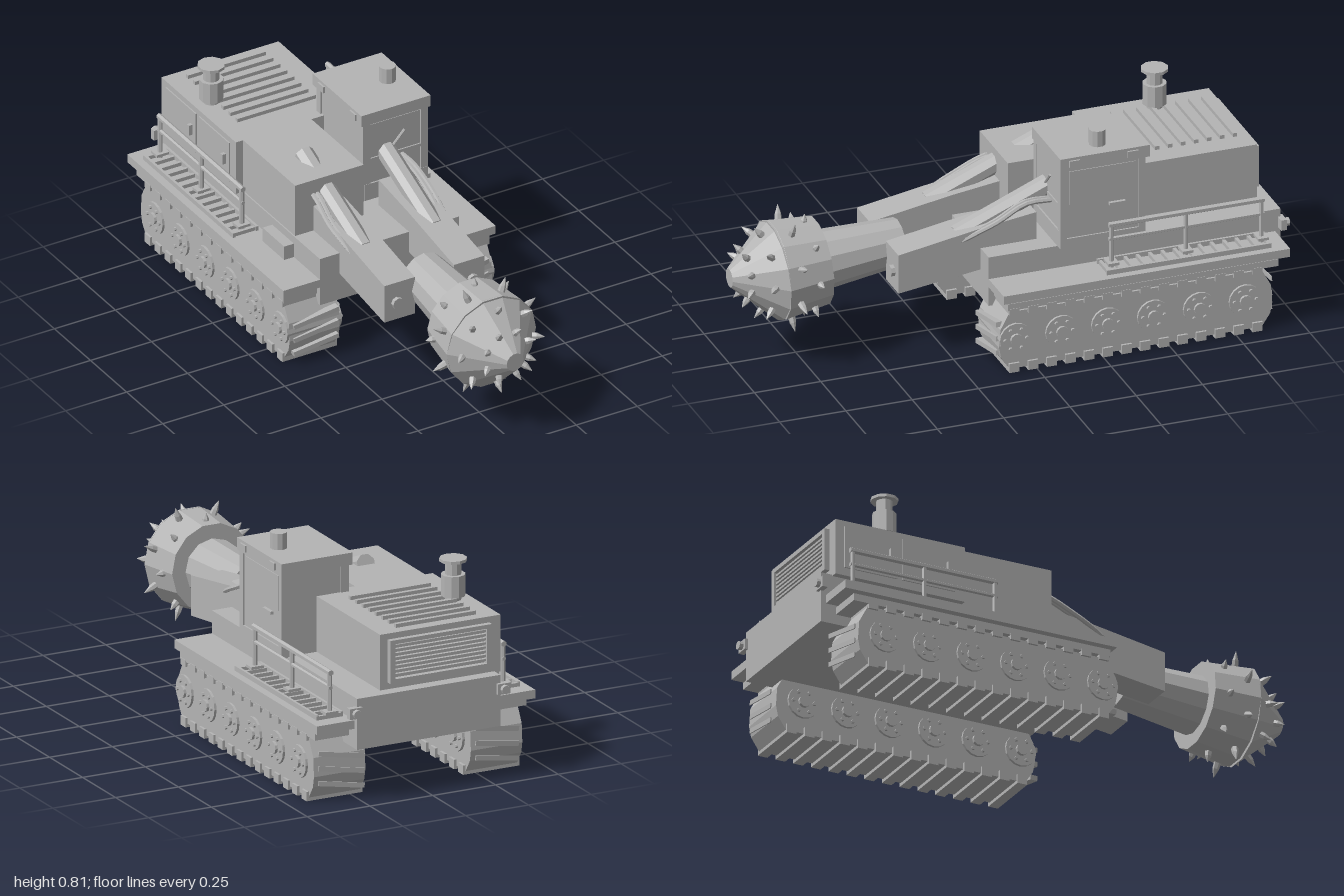
import * as THREE from 'three';

export function createModel() {
  const model = new THREE.Group();
  const grey = new THREE.MeshStandardMaterial({ color: 0xb4b4b4, flatShading: true });
  grey.name = 'grey';

  const add = (name, geometry) => {
    const mesh = new THREE.Mesh(geometry, grey);
    mesh.name = name;
    model.add(mesh);
    return mesh;
  };
  // box given by its limits on each axis
  const box = (name, x0, x1, y0, y1, z0, z1) => {
    const m = add(name, new THREE.BoxGeometry(Math.abs(x1 - x0), y1 - y0, Math.abs(z1 - z0)));
    m.position.set((x0 + x1) / 2, (y0 + y1) / 2, (z0 + z1) / 2);
    return m;
  };
  // round bar between two points
  const UP = new THREE.Vector3(0, 1, 0);
  const rod = (name, a, b, rA, rB = rA, sides = 8, start = 0) => {
    const p = new THREE.Vector3(...a), q = new THREE.Vector3(...b);
    const d = q.clone().sub(p);
    const m = add(name, new THREE.CylinderGeometry(rB, rA, d.length(), sides, 1, false, start));
    m.position.copy(p).add(q).multiplyScalar(0.5);
    m.quaternion.setFromUnitVectors(UP, d.normalize());
    return m;
  };
  // side outline of [z, y] points, extruded between x0 and x1
  const sideProfile = (name, pts, x0, x1) => {
    const shape = new THREE.Shape(pts.map(([z, y]) => new THREE.Vector2(-z, y)));
    const g = new THREE.ExtrudeGeometry(shape, { depth: x1 - x0, bevelEnabled: false });
    g.rotateY(Math.PI / 2);
    g.translate(x0, 0, 0);
    return add(name, g);
  };

  // hull
  box('hull', -0.285, 0.285, 0.205, 0.395, -0.97, 0.13);

  // tracks, wheels, fenders, decks and railings on both sides
  const beltOutline = [[0.10, 0.012], [0.132, 0.06], [0.14, 0.1], [0.135, 0.17], [0.10, 0.235],
    [-0.85, 0.235], [-0.885, 0.17], [-0.89, 0.1], [-0.882, 0.06], [-0.85, 0.012]];
  for (const s of [-1, 1]) {
    const span = (name, xi, xo, ...rest) => box(name, s * xi, s * xo, ...rest);
    sideProfile('trackBelt', beltOutline, s > 0 ? 0.21 : -0.415, s > 0 ? 0.415 : -0.21);
    for (let i = 0; i < 14; i++) {
      const z = 0.085 - i * 0.0705;
      span('trackCleat', 0.2, 0.424, 0, 0.035, z - 0.019, z + 0.019);
      span('trackCleat', 0.2, 0.424, 0.225, 0.25, z - 0.019, z + 0.019);
    }
    for (const [z, dir] of [[0.135, 1], [-0.885, -1]]) {
      for (const y of [0.06, 0.115, 0.17]) {
        const c = span('endCleat', 0.22, 0.4, y - 0.009, y + 0.009, z - 0.012, z + 0.016 * dir);
        c.rotation.set(0, s * 0.06 * dir, 0.17);
      }
    }
    for (let i = 0; i < 6; i++) {
      const z = 0.08 - i * 0.173, y = 0.13;
      rod('roadWheel', [s * 0.2, y, z], [s * 0.424, y, z], 0.06, 0.06, 16);
      rod('wheelHub', [s * 0.188, y, z], [s * 0.434, y, z], 0.022, 0.022, 10);
      for (let k = 0; k < 6; k++) {
        const a = k * Math.PI / 3;
        const by = y + 0.041 * Math.sin(a), bz = z + 0.041 * Math.cos(a);
        rod('wheelBolt', [s * 0.19, by, bz], [s * 0.432, by, bz], 0.007, 0.007, 6);
      }
    }
    span('lowerFender', 0.26, 0.422, 0.243, 0.27, -0.91, 0.11);
    span('fenderSeam', 0.26, 0.4, 0.27, 0.278, -0.9, 0.1);
    span('fender', 0.26, 0.435, 0.278, 0.31, -0.95, 0.13);

    // walkway grating
    for (const x of [0.3, 0.395]) span('gratingEdge', x, x + 0.01, 0.31, 0.328, -0.89, -0.27);
    for (let i = 0; i < 14; i++) {
      const z = -0.275 - i * 0.0465;
      span('gratingBar', 0.3, 0.405, 0.31, 0.324, z - 0.012, z);
    }
    // railing
    for (const z of [-0.31, -0.59, -0.875]) {
      rod('railPost', [s * 0.345, 0.31, z], [s * 0.345, 0.475, z], 0.009, 0.009, 6);
      span('railFoot', 0.32, 0.37, 0.324, 0.334, z - 0.02, z + 0.02);
    }
    for (const [y, r] of [[0.475, 0.011], [0.42, 0.008]])
      rod('handRail', [s * 0.345, y, -0.3], [s * 0.345, y, -0.885], r, r, 6);

    // rear lamps
    span('lampBracket', 0.27, 0.32, 0.325, 0.365, -0.982, -0.96);
    rod('rearLamp', [s * 0.295, 0.345, -0.975], [s * 0.295, 0.345, -0.997], 0.016, 0.016, 8);

    // lifting arms
    sideProfile('liftArm', [[0.44, 0.27], [0.44, 0.42], [0.13, 0.472], [-0.08, 0.5], [-0.08, 0.34]],
      s > 0 ? 0.08 : -0.205, s > 0 ? 0.205 : -0.08);
    rod('armBolt', [s * 0.155, 0.34, 0.43], [s * 0.155, 0.34, 0.455], 0.022, 0.022, 8);

    // hydraulic rams and hoses
    rod('ramBarrel', [s * 0.145, 0.43, 0.2], [s * 0.145, 0.605, -0.22], 0.037, 0.037, 8, Math.PI / 8);
    rod('ramRod', [s * 0.145, 0.405, 0.26], [s * 0.145, 0.44, 0.18], 0.02);
    for (const x of [0.19, 0.207]) {
      const path = new THREE.CatmullRomCurve3([[x, 0.54, -0.14], [x, 0.54, -0.04], [x + 0.008, 0.49, 0.07],
        [x, 0.455, 0.15], [x - 0.015, 0.42, 0.22]].map(p => new THREE.Vector3(s * p[0], p[1], p[2])));
      add('hose', new THREE.TubeGeometry(path, 12, 0.009, 6));
    }
  }
  box('stepBlock', -0.325, -0.285, 0.31, 0.365, -0.2, -0.05);

  // engine house
  box('engineHouse', -0.31, 0.17, 0.39, 0.602, -0.925, -0.41);
  box('forwardHousing', -0.28, 0, 0.39, 0.602, -0.41, -0.05);
  for (let i = 0; i < 8; i++) {
    const z = -0.875 + i * 0.049;
    box('roofLouver', -0.235, 0.085, 0.6, 0.616, z - 0.008, z + 0.008);
  }
  for (const [x0, x1, y0, y1] of [[-0.265, 0.14, 0.42, 0.435], [-0.265, 0.14, 0.565, 0.58],
    [-0.265, -0.245, 0.42, 0.58], [0.12, 0.14, 0.42, 0.58]])
    box('grilleFrame', x0, x1, y0, y1, -0.945, -0.92);
  for (let i = 0; i < 8; i++)
    box('grilleSlat', -0.25, 0.125, 0.443 + i * 0.0155, 0.451 + i * 0.0155, -0.937, -0.92);
  for (const [z0, z1] of [[-0.89, -0.68], [-0.66, -0.45]]) {
    box('engineDoor', -0.315, -0.3, 0.42, 0.58, z0, z1);
    box('doorHandle', -0.33, -0.31, 0.485, 0.525, z1 - 0.035, z1 - 0.02);
  }

  // exhaust stack
  const stack = [[0.6, 0.62, 0.03], [0.617, 0.697, 0.044], [0.695, 0.747, 0.03], [0.745, 0.756, 0.05]];
  for (const [y0, y1, r] of stack) rod('exhaust', [-0.242, y0, -0.695], [-0.242, y1, -0.695], r, r, 10);

  // cab
  box('cab', 0.052, 0.305, 0.39, 0.71, -0.445, -0.135);
  box('cabRoof', 0.037, 0.32, 0.705, 0.75, -0.465, -0.127);
  for (const x of [0.045, 0.282]) {
    for (const z of [-0.45, -0.155]) box('cabPillar', x, x + 0.03, 0.395, 0.71, z, z + 0.025);
    for (const z of [-0.42, -0.2]) {
      const lampX = x < 0.1 ? 0.03 : 0.315;
      box('roofLamp', lampX, lampX + 0.012, 0.715, 0.74, z, z + 0.04);
    }
  }
  box('windscreenSill', 0.05, 0.31, 0.395, 0.46, -0.145, -0.129);
  box('windscreenBar', 0.07, 0.285, 0.55, 0.562, -0.14, -0.13);
  box('windscreen', 0.075, 0.28, 0.565, 0.7, -0.136, -0.132);
  box('sideSill', 0.295, 0.311, 0.395, 0.43, -0.445, -0.135);
  box('sideWindow', 0.3, 0.308, 0.56, 0.69, -0.415, -0.165);
  box('cabDoorHandle', 0.3, 0.318, 0.535, 0.546, -0.375, -0.315);
  rod('wiper', [0.165, 0.59, -0.128], [0.214, 0.642, -0.128], 0.005, 0.005, 5);
  rod('beacon', [0.243, 0.745, -0.295], [0.243, 0.81, -0.295], 0.031, 0.031, 10);

  // cutter boom and drum
  const half = Math.PI / 14;
  rod('cutterBoom', [0, 0.37, 0.36], [0, 0.346, 0.68], 0.086, 0.11, 12);
  rod('drumBody', [0, 0.348, 0.665], [0, 0.338, 0.835], 0.162, 0.183, 14, half);
  rod('drumNose', [0, 0.338, 0.835], [0, 0.336, 1.0], 0.183, 0.035, 14, half);

  // picks: [radius, z, outward lean, forward lean, length, first angle]
  const picks = [[0.178, 0.79, 0.98, -0.1, 0.05, 0.5], [0.145, 0.878, 0.74, 0.67, 0.042, 0],
    [0.085, 0.943, 0.74, 0.67, 0.038, 0.5], [0.165, 0.72, 0.98, -0.1, 0.035, 0]];
  for (const [r, z, out, fwd, len, first] of picks) {
    for (let k = 0; k < 8; k++) {
      const a = (k + first) * Math.PI / 4, c = Math.cos(a), n = Math.sin(a);
      const at = t => [c * (r + out * t), 0.338 + n * (r + out * t), z + fwd * t];
      rod('pickBase', at(-0.012), at(len * 0.35), 0.014, 0.012, 6);
      rod('pickTip', at(len * 0.35), at(len), 0.012, 0.001, 6);
    }
  }
  return model;
}
